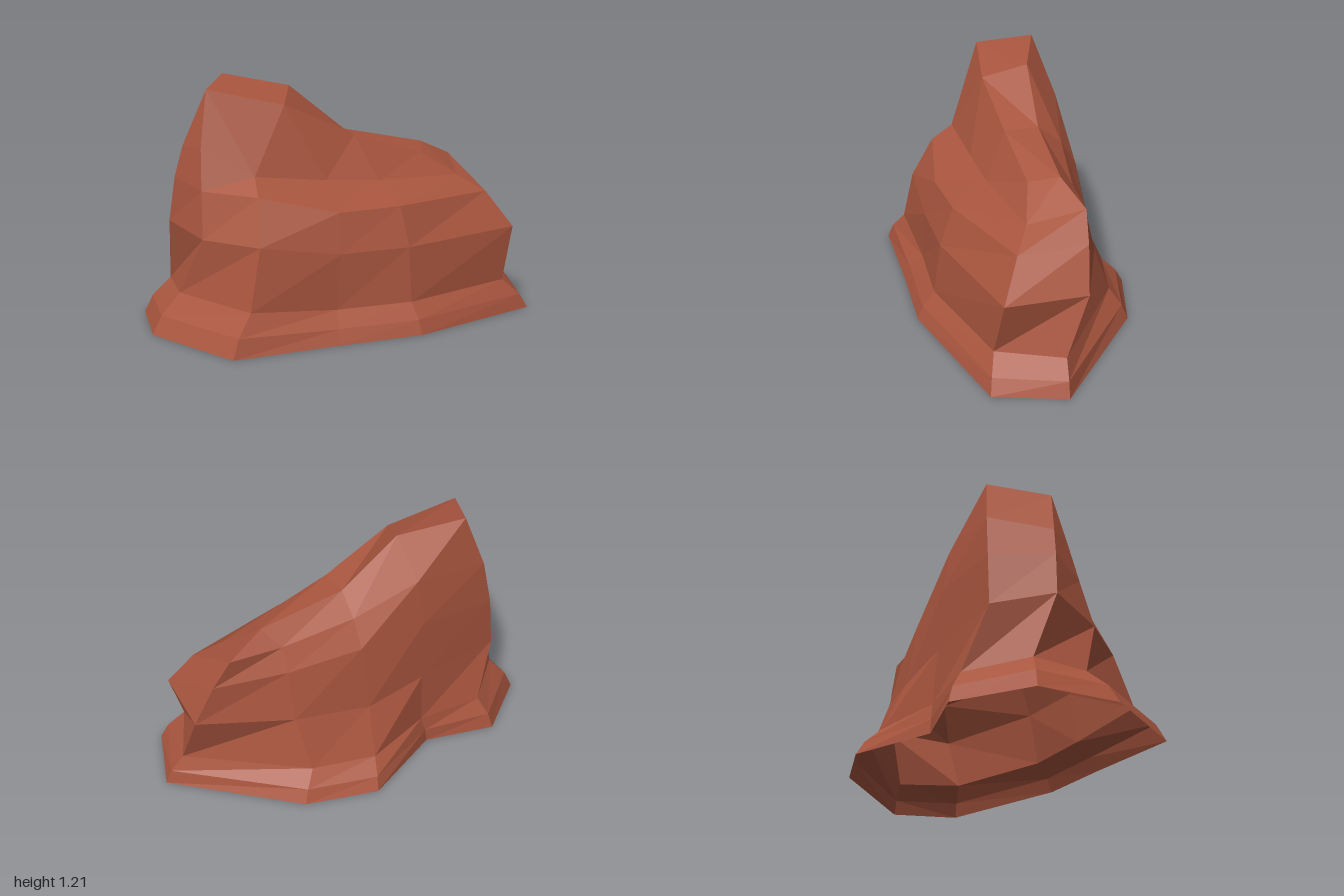
import * as THREE from 'three';

// Each ring runs counter-clockwise seen from above, starting at the front corner (-x, +z).
// Every entry is one corner: [x, y, z].
const ground = [
  [-0.70, 0, 0.59], [-0.20, 0, 0.55], [0.22, 0, 0.53], [0.91, 0, 0.29], [1.00, 0, -0.05],
  [0.44, 0, -0.51], [0.08, 0, -0.60], [-0.33, 0, -0.40], [-0.70, 0, -0.48], [-1.00, 0, -0.24], [-1.00, 0, 0.14],
];
const foot = [
  [-0.60, 0.18, 0.50], [-0.18, 0.14, 0.45], [0.20, 0.14, 0.44], [0.78, 0.15, 0.25], [0.90, 0.15, -0.06],
  [0.36, 0.14, -0.43], [0.04, 0.13, -0.49], [-0.30, 0.15, -0.38], [-0.64, 0.17, -0.40], [-0.87, 0.19, -0.18], [-0.86, 0.18, 0.08],
];
const waist = [
  [-0.54, 0.46, 0.445], [-0.15, 0.40, 0.43], [0.20, 0.40, 0.40], [0.85, 0.42, 0.215], [0.85, 0.43, -0.17],
  [0.40, 0.40, -0.33], [0.02, 0.37, -0.385], [-0.30, 0.42, -0.36], [-0.75, 0.46, -0.32], [-0.88, 0.51, -0.06], [-0.76, 0.46, 0.20],
];
const shoulder = [
  [-0.52, 0.67, 0.33], [-0.14, 0.585, 0.37], [0.18, 0.59, 0.33], [0.73, 0.60, 0.13], [0.75, 0.63, -0.19],
  [0.40, 0.65, -0.27], [0.04, 0.70, -0.33], [-0.30, 0.74, -0.34], [-0.72, 0.72, -0.31], [-0.85, 0.73, -0.04], [-0.75, 0.68, 0.14],
];
const ledge = [
  [-0.51, 0.75, 0.22], [-0.15, 0.71, 0.18], [0.13, 0.69, 0.15], [0.60, 0.68, 0.06], [0.66, 0.76, -0.20],
  [0.40, 0.76, -0.21], [0.04, 0.83, -0.25], [-0.28, 0.97, -0.30], [-0.67, 0.95, -0.29], [-0.81, 0.88, -0.02], [-0.74, 0.88, 0.09],
];
const crown = [
  [-0.70, 1.15, 0.04], [-0.33, 1.07, 0.08], [0.04, 0.91, 0.04], [0.41, 0.80, 0.01], [0.47, 0.84, -0.13],
  [0.47, 0.84, -0.13], [0.04, 0.92, -0.13], [-0.25, 1.15, -0.14], [-0.57, 1.21, -0.24], [-0.70, 1.15, 0.04], [-0.70, 1.15, 0.04],
];

// The foot flares out in a hollow curve, so its middle ring sits below the straight line
const flare = ground.map((g, i) => {
  const f = foot[i];
  return [g[0] + (f[0] - g[0]) * 0.32, f[1] * 0.48, g[2] + (f[2] - g[2]) * 0.32];
});

const material = new THREE.MeshStandardMaterial({ color: 0xa8553e, flatShading: true, side: THREE.DoubleSide });

function facetMesh(name, quads) {
  const positions = [];
  for (const [a, b, c, d] of quads) positions.push(...a, ...b, ...c, ...a, ...c, ...d);
  const geometry = new THREE.BufferGeometry();
  geometry.setAttribute('position', new THREE.Float32BufferAttribute(positions, 3));
  geometry.computeVertexNormals();
  const mesh = new THREE.Mesh(geometry, material);
  mesh.name = name;
  return mesh;
}

// Skins a stack of rings, from the lowest to the highest
function band(name, rings) {
  const quads = [];
  for (let r = 0; r < rings.length - 1; r++) {
    const low = rings[r], high = rings[r + 1];
    low.forEach((p, i) => {
      const n = (i + 1) % low.length;
      quads.push([p, low[n], high[n], high[i]]);
    });
  }
  return facetMesh(name, quads);
}

export function createModel() {
  const rock = new THREE.Group();
  rock.name = 'rock';
  rock.add(band('flaredFoot', [ground, flare, foot]));
  rock.add(band('rockWall', [foot, waist, shoulder]));
  rock.add(band('upperSlopes', [shoulder, ledge, crown]));

  // Sloping top, bridged between the front and back edges of the crown
  const top = [];
  for (const [front, back] of [[0, 8], [1, 7], [2, 6]]) {
    top.push([crown[front], crown[front + 1], crown[back - 1], crown[back]]);
  }
  rock.add(facetMesh('slopingTop', top));
  return rock;
}
